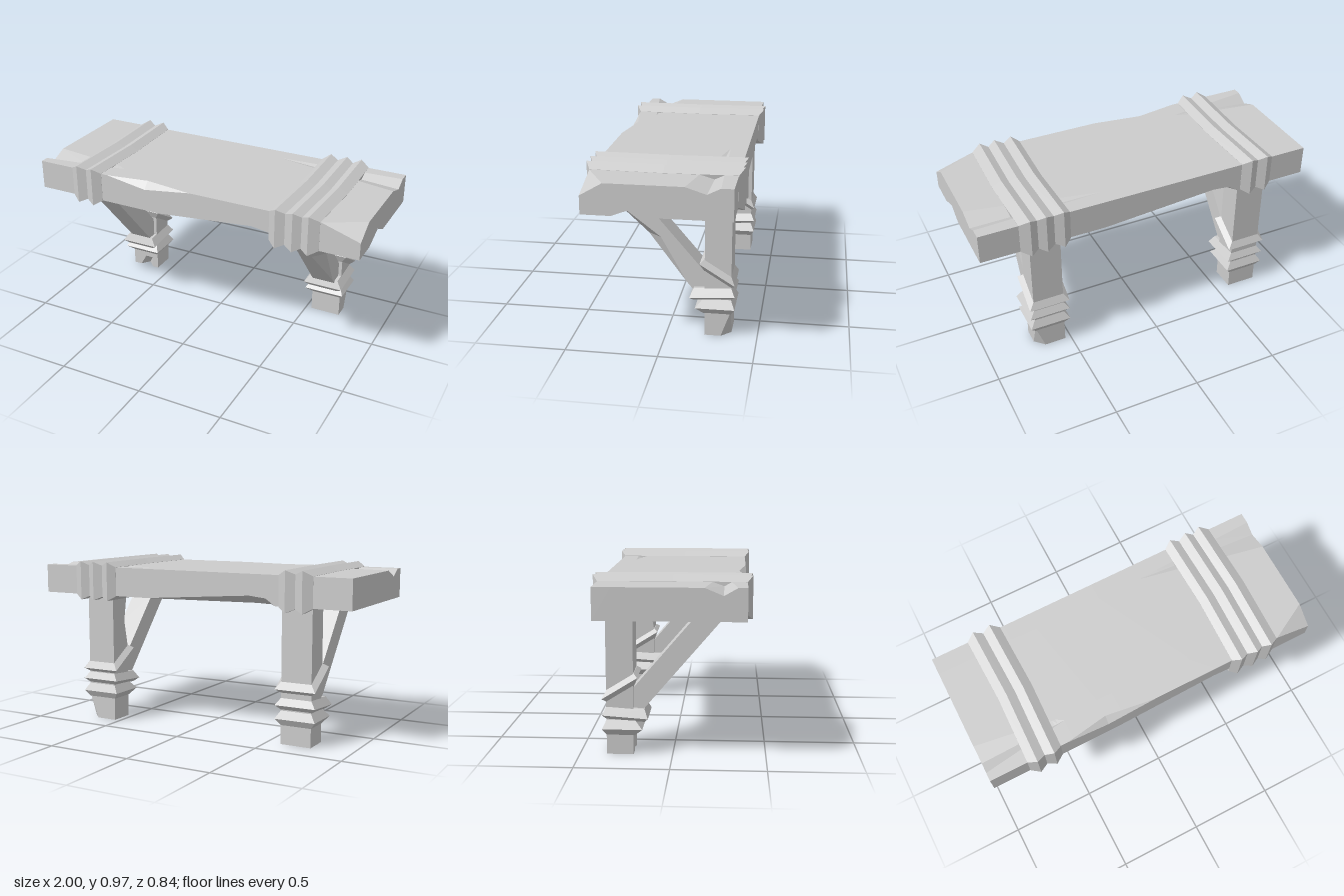
import * as THREE from 'three';

const stone = new THREE.MeshStandardMaterial({ color: 0xcccccc, flatShading: true });
stone.name = 'grey stone';

// Piecewise linear value from [position, value] keys, zero outside them
function at(t, keys) {
  for (let i = 0; i < keys.length - 1; i++) {
    const [a, va] = keys[i], [b, vb] = keys[i + 1];
    if (t >= a && t <= b) return va + (vb - va) * (t - a) / (b - a);
  }
  return 0;
}

// Capped skin over sections with equal point counts, stacked along 'x' or 'y'
function loft(name, sections, axis) {
  const pos = [];
  const a = new THREE.Vector3(), b = new THREE.Vector3();
  const tri = (p, q, r) => {
    a.subVectors(q, p).cross(b.subVectors(r, p));
    if (a.length() > 1e-8) for (const v of [p, q, r]) pos.push(v.x, v.y, v.z);
  };
  for (let s = 0; s < sections.length - 1; s++) {
    const lo = sections[s], hi = sections[s + 1], n = lo.length;
    for (let i = 0; i < n; i++) {
      const j = (i + 1) % n;
      tri(lo[i], lo[j], hi[j]);
      tri(lo[i], hi[j], hi[i]);
    }
  }
  const cap = (sec, flip) => {
    const flat = sec.map(v => axis === 'x' ? new THREE.Vector2(-v.z, v.y) : new THREE.Vector2(v.x, -v.z));
    for (const [i, j, k] of THREE.ShapeUtils.triangulateShape(flat, [])) {
      const ccw = (flat[j].x - flat[i].x) * (flat[k].y - flat[i].y)
        - (flat[j].y - flat[i].y) * (flat[k].x - flat[i].x) > 0;
      if (ccw !== flip) tri(sec[i], sec[j], sec[k]);
      else tri(sec[i], sec[k], sec[j]);
    }
  };
  cap(sections[0], true);
  cap(sections[sections.length - 1], false);
  const geo = new THREE.BufferGeometry();
  geo.setAttribute('position', new THREE.Float32BufferAttribute(pos, 3));
  geo.computeVertexNormals();
  const mesh = new THREE.Mesh(geo, stone);
  mesh.name = name;
  return mesh;
}

const V = (x, y, z) => new THREE.Vector3(x, y, z);

// Slab with chipped edges and tapering cracks
function makeSlab() {
  const stations = [-1, -0.77, -0.56, -0.54, -0.5, -0.4, -0.29, -0.2, 0, 0.27, 0.38, 0.485, 0.54, 0.6, 0.78, 1];
  return loft('slab', stations.map(x => {
    const topY = at(x, [[-0.54, 0], [-0.29, 0.04], [0, 0], [0.78, 0], [1, 0.07]]);
    const topZ = at(x, [[-0.54, 0], [-0.29, 0.04], [0, 0], [0.78, 0], [1, 0.12]]);
    const lowY = at(x, [[-0.2, 0], [0.38, 0.055], [0.485, 0.04], [0.54, 0]]);
    const backY = at(x, [[-0.56, 0], [-0.5, 0.04], [-0.4, 0.05], [0.27, 0]]);
    const notch = at(x, [[0.6, 0], [1, 0.05]]);
    const gr = at(x, [[0.27, 0], [1, 1]]), gl = at(x, [[-1, 1], [-0.5, 0]]);
    const section = [
      [-0.39, 0.77 + backY], [-0.39 + backY * 2, 0.77],
      [0, 0.77], [0.1, 0.77 + notch], [0.23, 0.77],
      [0.39 - lowY * 2, 0.77], [0.39, 0.77 + lowY],
      [0.39, 0.94 - topY], [0.39 - topZ, 0.94],
      [Math.min(0.27 + 0.07 * gl, 0.385 - topZ), 0.94], [0.27 - topZ * 0.1, 0.94 - 0.04 * gl], [0.25 - 0.075 * gl, 0.94],
      [-0.29 + 0.145 * gr, 0.94], [-0.29 + 0.035 * gr, 0.94 - 0.035 * gr], [-0.295 - 0.03 * gr, 0.94],
      [-0.39, 0.94],
    ];
    return section.reverse().map(([z, y]) => V(x, y, z));
  }), 'x');
}

// Ridged band around the slab: alternating valleys and peaks along x
function makeBand(name, xs, bow) {
  return loft(name, xs.map((x, i) => {
    const end = i === 0 || i === xs.length - 1;
    const o = i % 2 ? 0.03 : end ? 0.001 : 0.008;
    const z = 0.39 + o, lo = 0.77 - o, hi = 0.94 + o;
    return [V(x, lo, z), V(x + bow, lo, 0), V(x, lo, -z), V(x, hi, -z), V(x + bow, hi, 0), V(x, hi, z)];
  }), 'x');
}

// Post with a nicked foot and one chipped upper corner
function makePost(cx, nick, corner) {
  const h = 0.09, zf = -0.21, zb = -0.355;
  return loft('post', [0, 0.07, 0.15, 0.45, 0.6, 0.78].map(y => {
    const n = nick * at(y, [[0, 0.05], [0.07, 0]]);
    const c = corner * at(y, [[0, 0.055], [0.15, 0]]);
    const e = corner * at(y, [[0.45, 0], [0.6, 0.03], [0.78, 0]]);
    return [
      V(cx - h, y, zf - e), V(cx - h + e, y, zf),
      V(cx - 0.04, y, zf), V(cx, y, zf - n), V(cx + 0.05, y, zf), V(cx + h, y, zf),
      V(cx + h, y, zb + c), V(cx + h - c, y, zb), V(cx - h, y, zb),
    ];
  }), 'y');
}

// Slanted brace from post to slab
function makeBrace(cx, chip) {
  const w = 0.07;
  return loft('brace', [0.19, 0.3, 0.555, 0.72, 0.775].map(y => {
    const f = -0.21 + (y - 0.185) / 1.17, b = Math.max(f - 0.154, -0.33);
    const c = chip * at(y, [[0.3, 0], [0.555, 1], [0.72, 0]]);
    return [
      V(cx - w, y, f), V(cx + w - 0.06 * c, y, f), V(cx + w, y, f - 0.075 * c),
      V(cx + w, y, b), V(cx - w, y, b),
    ];
  }), 'y');
}

// Sharp collar around the post, tilted along z
function makeCollar(name, cx, [low, mid, high], zFront, zBase, tilt) {
  const sec = (y, h, f, b) => [[-h, f], [h, f], [h, b], [-h, b]]
    .map(([x, z]) => V(cx + x, y + tilt * (z + 0.28), z));
  return loft(name, [
    sec(low, 0.088, zBase, -0.353),
    sec(mid, 0.12, zFront, -0.376),
    sec(high, 0.088, zBase, -0.353),
  ], 'y');
}

export function createModel() {
  const model = new THREE.Group();
  model.name = 'bench';
  model.add(makeSlab());
  model.add(makeBand('rightBand', [-0.78, -0.73, -0.68, -0.63, -0.58], 0.012));
  model.add(makeBand('leftBand', [0.485, 0.53, 0.58, 0.63, 0.675, 0.72, 0.775], 0.012));

  // Supports: post, brace and three collars each
  for (const [name, cx, drop, left] of [['leftSupport', 0.625, 0, 1], ['rightSupport', -0.675, 0.025, 0]]) {
    const leg = new THREE.Group();
    leg.name = name;
    leg.add(makePost(cx, 1 - left, left), makeBrace(cx, left));
    leg.add(makeCollar('lowerCollar', cx, [0.13 - drop, 0.17 - drop, 0.22 - drop], -0.16, -0.205, 0));
    leg.add(makeCollar('middleCollar', cx, [0.215 - drop, 0.24 - drop, 0.285 - drop], -0.13, -0.15, -0.07));
    leg.add(makeCollar('upperCollar', cx, [0.335, 0.37, 0.402], -0.185, -0.207, 0.62));
    model.add(leg);
  }
  return model;
}
